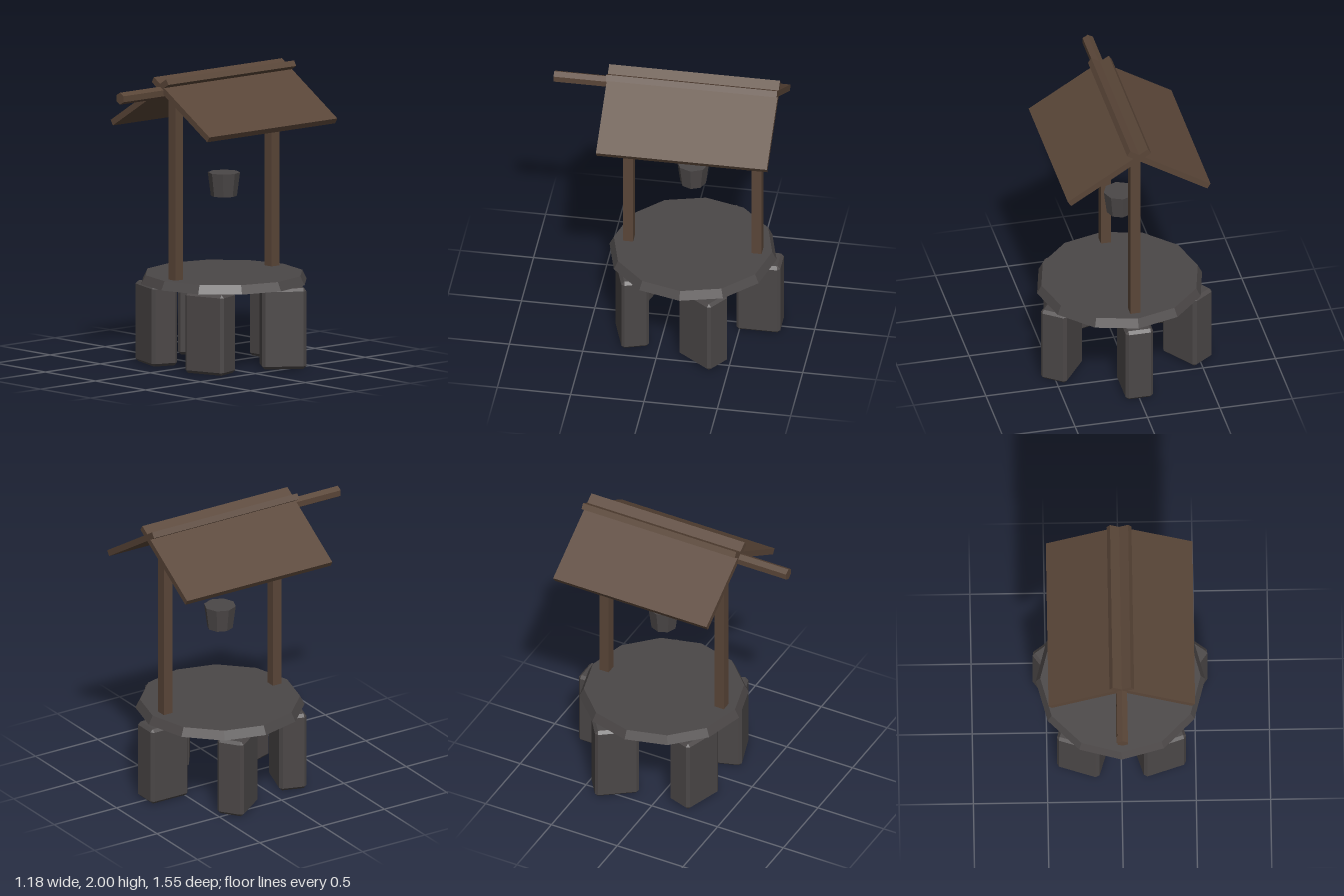
import * as THREE from 'three';
import { ConvexGeometry } from 'three/addons/geometries/ConvexGeometry.js';

// Box with every edge cut by a single flat bevel
function bevelledBox(w, h, d, bevel) {
  const points = [];
  for (const sx of [-1, 1]) for (const sy of [-1, 1]) for (const sz of [-1, 1]) {
    for (let axis = 0; axis < 3; axis++) {
      const half = [w / 2, h / 2, d / 2].map((v, i) => (i === axis ? v : v - bevel));
      points.push(new THREE.Vector3(sx * half[0], sy * half[1], sz * half[2]));
    }
  }
  return new ConvexGeometry(points);
}

export function createModel() {
  const group = new THREE.Group();
  const wood = new THREE.MeshStandardMaterial({ color: 0x5a4638, flatShading: true });
  wood.name = 'brown wood';
  const stone = new THREE.MeshStandardMaterial({ color: 0x4b4747, flatShading: true });
  stone.name = 'dark stone';

  const add = (name, geometry, material, x, y, z) => {
    const mesh = new THREE.Mesh(geometry, material);
    mesh.name = name;
    mesh.position.set(x, y, z);
    group.add(mesh);
    return mesh;
  };

  const centreZ = -0.17;

  // Five standing stones in a ring, each turned by twice its ring angle
  const stoneGeometry = bevelledBox(0.19, 0.55, 0.3, 0.02);
  const ringRadius = 0.457;
  for (let i = 0; i < 5; i++) {
    const angle = (i * Math.PI * 2) / 5;
    const block = add('baseStone', stoneGeometry, stone,
      Math.sin(angle) * ringRadius, 0.275, centreZ - Math.cos(angle) * ringRadius);
    block.rotation.y = 2 * angle;
  }

  // Twelve-sided slab on top of the stones
  add('stoneSlab', new THREE.CylinderGeometry(0.54, 0.57, 0.06, 12), stone, 0, 0.58, centreZ);

  // Posts
  const postGeometry = new THREE.BoxGeometry(0.07, 1.26, 0.07);
  add('frontPost', postGeometry, wood, 0, 1.23, 0.268);
  add('backPost', postGeometry, wood, 0, 1.23, -0.608);

  // Two roof boards crossing at the ridge
  const boardGeometry = new THREE.BoxGeometry(0.652, 0.042, 1.165);
  for (const side of [-1, 1]) {
    const board = add(side > 0 ? 'leftRoofBoard' : 'rightRoofBoard', boardGeometry, wood,
      side * 0.205, 1.809, -0.171);
    board.rotation.z = -side * 0.555;
  }

  // Six-sided pole sticking out of the front of the roof
  const poleGeometry = new THREE.CylinderGeometry(0.041, 0.041, 1, 6);
  poleGeometry.rotateX(Math.PI / 2);
  add('ridgePole', poleGeometry, wood, 0, 1.9, 0.276);

  // Hanging bucket
  add('bucket', new THREE.CylinderGeometry(0.109, 0.088, 0.16, 8), stone, 0, 1.214, centreZ);

  return group;
}
